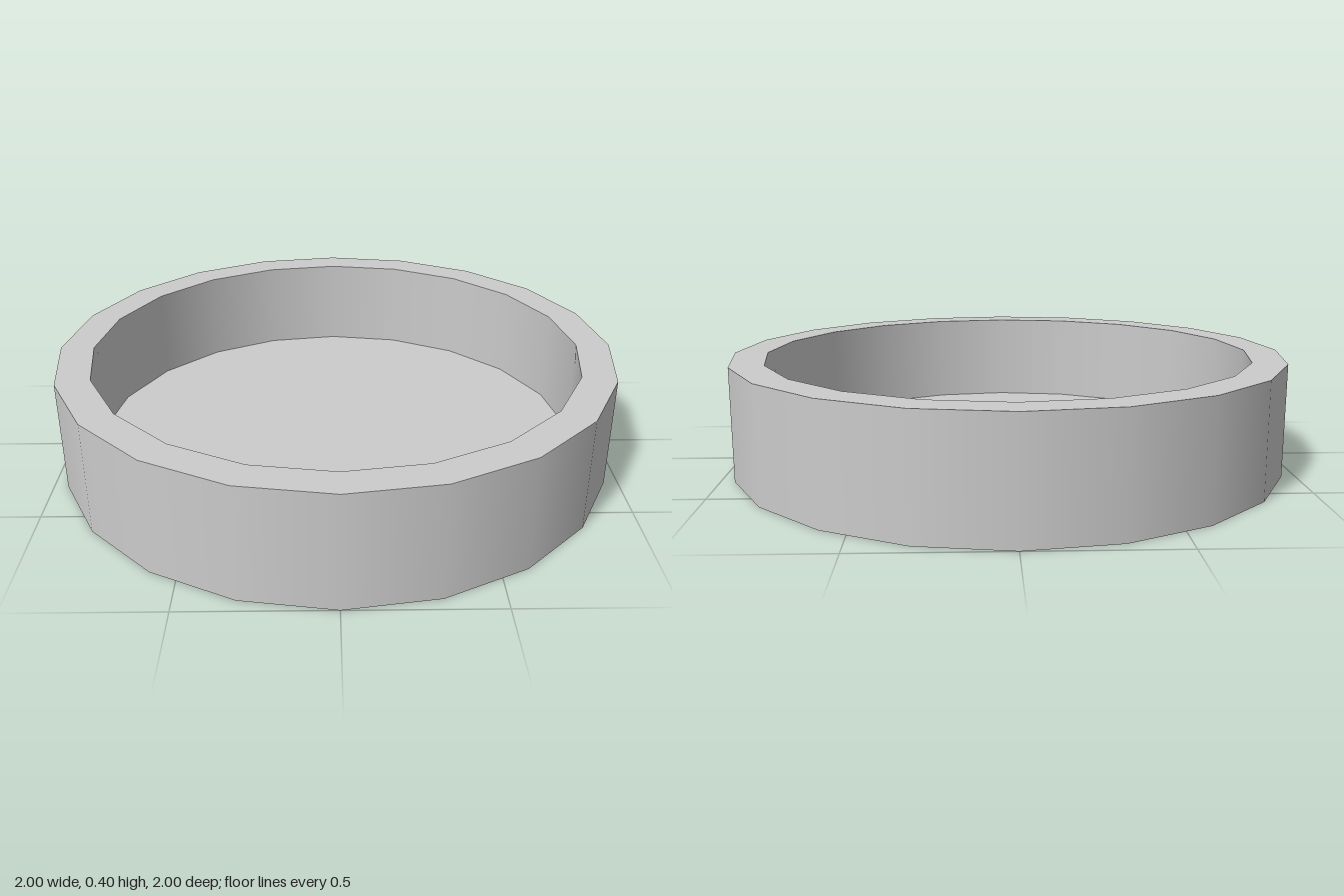
import * as THREE from 'three';

const SIDES = 20;
const OUTER = 1, INNER = 0.88, HEIGHT = 0.4, FLOOR = 0.06;

export function createModel() {
  const group = new THREE.Group();
  group.name = 'roundTray';
  const material = new THREE.MeshStandardMaterial({ color: 0xcccccc });

  // Closed profile, one band per surface so the rims stay sharp and the walls smooth
  const bands = [
    ['base', [0, 0], [OUTER, 0]],
    ['outerWall', [OUTER, 0], [OUTER, HEIGHT]],
    ['rim', [OUTER, HEIGHT], [INNER, HEIGHT]],
    ['innerWall', [INNER, HEIGHT], [INNER, FLOOR]],
    ['floor', [INNER, FLOOR], [0, FLOOR]],
  ];
  for (const [name, from, to] of bands) {
    const points = [new THREE.Vector2(...from), new THREE.Vector2(...to)];
    const mesh = new THREE.Mesh(new THREE.LatheGeometry(points, SIDES), material);
    mesh.name = name;
    group.add(mesh);
  }
  return group;
}
